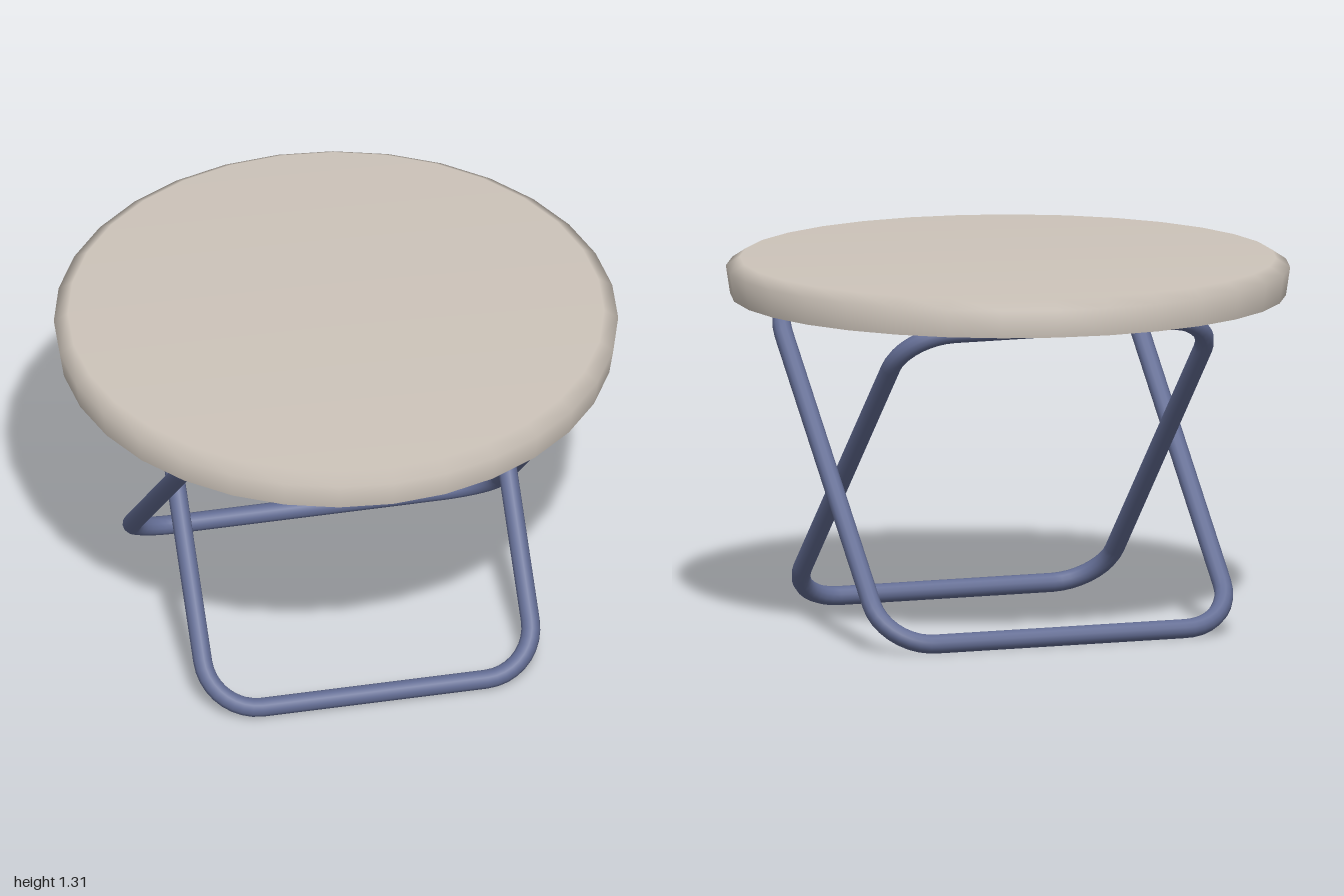
import * as THREE from 'three';

const seatMaterial = new THREE.MeshStandardMaterial({ color: 0xcdc4ba });
seatMaterial.name = 'warm grey seat';
const frameMaterial = new THREE.MeshStandardMaterial({ color: 0x636d94 });
frameMaterial.name = 'slate blue tube';

// Closed rounded rectangle in the XY plane
function roundedLoop(w, h, r) {
  const path = new THREE.CurvePath();
  const v = (x, y) => new THREE.Vector3(x, y, 0);
  const k = r * 0.4477; // handle offset for a circular corner
  const corners = [[1, 1], [-1, 1], [-1, -1], [1, -1]];
  corners.forEach(([sx, sy], i) => {
    const onSide = (d) => v(sx * w, sy * (h - d));
    const onBar = (d) => v(sx * (w - d), sy * h);
    const [from, to] = i % 2 === 0 ? [onSide, onBar] : [onBar, onSide];
    path.add(new THREE.CubicBezierCurve3(from(r), from(k), to(k), to(r)));
    const [nx, ny] = corners[(i + 1) % 4];
    const next = i % 2 === 0 ? v(nx * (w - r), ny * h) : v(nx * w, ny * (h - r));
    path.add(new THREE.LineCurve3(to(r), next));
  });
  return path;
}

function legFrame(name, halfWidth, tilt) {
  const loop = roundedLoop(halfWidth, 0.792, 0.19);
  const mesh = new THREE.Mesh(new THREE.TubeGeometry(loop, 160, 0.034, 12, true), frameMaterial);
  mesh.name = name;
  mesh.position.set(0.02, 0.593, 0);
  mesh.rotation.x = tilt;
  return mesh;
}

export function createModel() {
  const group = new THREE.Group();
  group.name = 'foldingStool';

  // Round seat with a softened upper edge
  const profile = [[0.985, 1.18], [1, 1.28], [0.95, 1.313], [0, 1.313]]
    .map(([x, y]) => new THREE.Vector2(x, y));
  const seat = new THREE.Mesh(new THREE.LatheGeometry(profile, 32), seatMaterial);
  seat.name = 'seat';
  group.add(seat);

  // Flat underside, kept separate for a sharp edge
  const underside = new THREE.Mesh(new THREE.CircleGeometry(0.985, 32), seatMaterial);
  underside.name = 'seatUnderside';
  underside.rotation.x = Math.PI / 2;
  underside.position.y = 1.18;
  group.add(underside);

  // Two crossed tubular frames, one nested inside the other
  const tilt = Math.atan2(0.565, 0.555);
  group.add(legFrame('outerLegFrame', 0.666, tilt));
  group.add(legFrame('innerLegFrame', 0.593, -tilt));
  return group;
}
